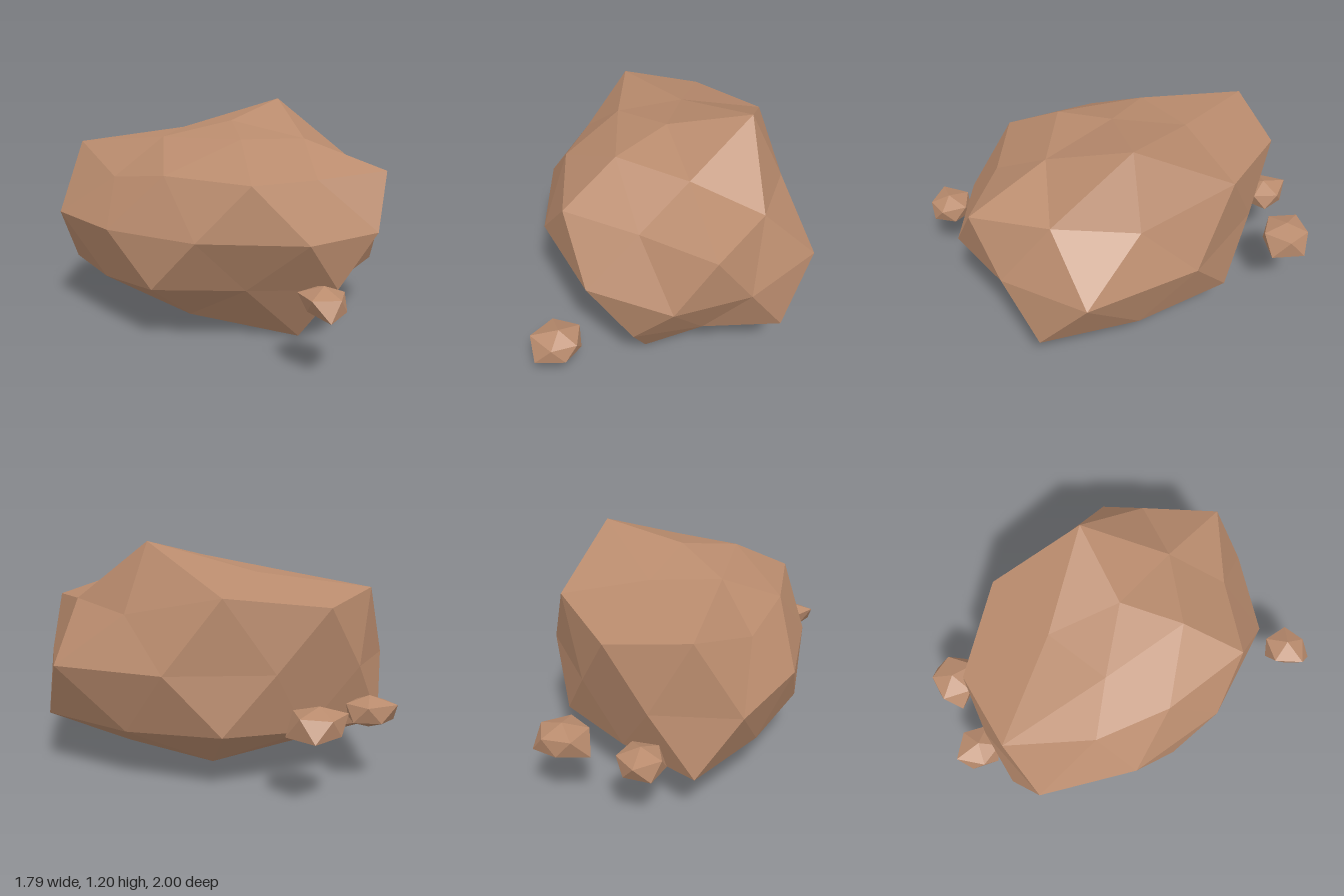
import * as THREE from 'three';

// Unit direction from height and azimuth in degrees (0 = +x, 90 = +z)
function dir(y, deg) {
  const a = THREE.MathUtils.degToRad(deg), h = Math.sqrt(1 - y * y);
  return new THREE.Vector3(h * Math.cos(a), y, h * Math.sin(a));
}

// Triangles of an icosahedron standing on a pole, optionally split once
function icoFaces(split) {
  const top = dir(1, 0), bottom = dir(-1, 0), lat = 1 / Math.sqrt(5);
  const U = k => dir(lat, 18 + 72 * k), L = k => dir(-lat, 54 + 72 * k);
  let faces = [];
  for (let k = 0; k < 5; k++) {
    faces.push([top, U(k + 1), U(k)], [U(k), U(k + 1), L(k)],
      [L(k), U(k + 1), L(k + 1)], [bottom, L(k), L(k + 1)]);
  }
  if (split) {
    const mid = (p, q) => p.clone().add(q).normalize();
    faces = faces.flatMap(([a, b, c]) => {
      const ab = mid(a, b), bc = mid(b, c), ca = mid(c, a);
      return [[a, ab, ca], [ab, b, bc], [ca, bc, c], [ab, bc, ca]];
    });
  }
  return faces;
}

// Rock: each direction is pushed out by the radius listed for its ring, from top to bottom
const tiers = [0.95, 0.7, 0.2, -0.2, -0.7, -0.95];
function rockGeometry(rings, split) {
  const radius = d => {
    const tier = tiers.filter(t => d.y < t).length;
    const ring = rings[tier], n = ring.length;
    const az = THREE.MathUtils.radToDeg(Math.atan2(d.z, d.x)) - (tier === 3 ? 0 : 18) + 721;
    return ring[Math.floor((az % 360) / (360 / n)) % n];
  };
  const points = icoFaces(split).flat().map(d => d.clone().multiplyScalar(radius(d)));
  const geo = new THREE.BufferGeometry().setFromPoints(points);
  return geo;
}

export function createModel() {
  const group = new THREE.Group();
  const stone = new THREE.MeshStandardMaterial({ color: 0xb98b6d, flatShading: true });
  stone.name = 'tan stone';

  const add = (name, geo) => {
    geo.computeVertexNormals();
    const mesh = new THREE.Mesh(geo, stone);
    mesh.name = name;
    group.add(mesh);
  };

  // Boulder, flattened and slightly skewed
  const boulder = rockGeometry([
    [0.755],
    [0.745, 0.785, 0.755, 0.77, 1.04],
    [0.92, 0.745, 0.923, 0.8, 0.76, 1.025, 1.01, 1.01, 0.85, 0.84],
    [0.83, 0.85, 0.9, 0.875, 0.86, 0.96, 0.89, 0.85, 0.915, 0.99],
    [0.77, 0.88, 0.77, 0.91, 0.875, 1.035, 0.88, 0.965, 0.9, 0.995],
    [1.0, 0.84, 0.84, 0.88, 0.83],
    [0.775],
  ], true);
  boulder.applyMatrix4(new THREE.Matrix4().set(
    1, 0, 0.075, 0.06,
    0, 0.69, 0, 0.59,
    0.085, 0, 0.8, -0.04,
    0, 0, 0, 1));
  add('boulder', boulder);

  // Pebbles lying around it: position, turn in degrees, upper and lower ring radii
  const pebbles = [
    ['frontPebble', [0.44, 0.375, 0.85], 32, 0.09,
      [0.9, 1.2, 1.06, 1.03, 0.95], [1.26, 0.75, 1.03, 0.9, 0.92]],
    ['backPebble', [-0.44, 0.395, -0.865], 16, 0.095,
      [1.15, 1.12, 1.17, 1.03, 1.12], [1.03, 1.39, 0.95, 1.28, 1.34]],
    ['sidePebble', [-0.74, 0.375, -0.57], 52, 0.09,
      [0.95, 1.0, 1.24, 1.0, 1.0], [1.03, 1.07, 0.95, 1.0, 0.95]],
  ];
  for (const [name, position, turn, height, upper, lower] of pebbles) {
    const geo = rockGeometry([[0.9], [], upper, [], lower, [], [0.88]], false);
    geo.rotateY(-THREE.MathUtils.degToRad(turn));
    geo.scale(0.13, height, 0.13);
    geo.translate(...position);
    add(name, geo);
  }
  return group;
}
